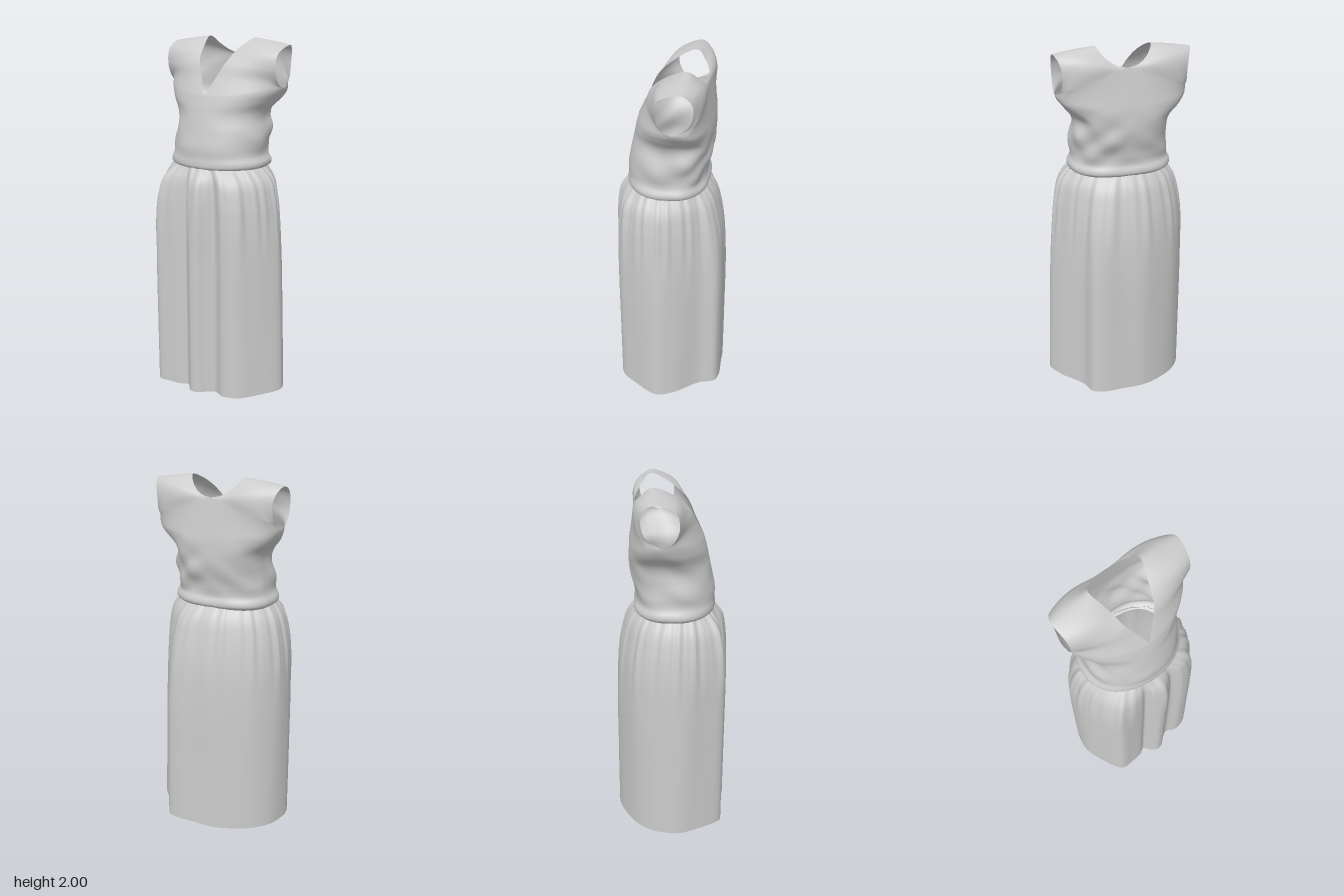
import * as THREE from 'three';
import { mergeGeometries, mergeVertices } from 'three/addons/utils/BufferGeometryUtils.js';

const CX = -0.02; // the bodice sits a little to one side
const V = (x, y, z) => new THREE.Vector3(x, y, z);
const cloth = new THREE.MeshStandardMaterial({ color: 0xcccccc, side: THREE.DoubleSide });

// Smooth lookup in rows of [key, ...values]
function table(rows) {
  const size = rows[0].length - 1;
  const it = new THREE.CubicInterpolant(rows.map(r => r[0]), rows.flatMap(r => r.slice(1)), size, new Float32Array(size));
  return k => it.evaluate(k);
}

// Grid surface from fn(u, v)
function sheet(nu, nv, fn) {
  const pos = [], index = [], cols = nu + 1;
  for (let j = 0; j <= nv; j++)
    for (let i = 0; i <= nu; i++) pos.push(...fn(i / nu, j / nv).toArray());
  for (let j = 0; j < nv; j++)
    for (let i = 0; i < nu; i++) {
      const a = j * cols + i, b = a + 1;
      index.push(a, a + cols, b, b, a + cols, b + cols);
    }
  const g = new THREE.BufferGeometry();
  g.setAttribute('position', new THREE.Float32BufferAttribute(pos, 3));
  return g.setIndex(index);
}

// Sews sheets together along shared edges, with smooth shading across the seams
function sewn(name, sheets) {
  const g = mergeVertices(mergeGeometries(sheets), 1e-4);
  g.computeVertexNormals();
  const mesh = new THREE.Mesh(g, cloth);
  mesh.name = name;
  return mesh;
}

// Bodice rows: y, right reach, left reach, front z, back z, side-seam z
const bodiceRow = table([
  [1.295, 0.265, 0.24, 0.215, -0.18, 0.02],
  [1.31, 0.288, 0.272, 0.238, -0.203, 0.02],
  [1.34, 0.292, 0.282, 0.243, -0.207, 0.02],
  [1.37, 0.278, 0.268, 0.24, -0.195, 0.02],
  [1.43, 0.275, 0.268, 0.24, -0.2, 0.01],
  [1.52, 0.26, 0.268, 0.225, -0.22, 0],
  [1.62, 0.28, 0.265, 0.205, -0.23, -0.02],
  [1.68, 0.328, 0.315, 0.194, -0.228, -0.045],
  [1.72, 0.35, 0.349, 0.184, -0.225, -0.057],
  [1.74, 0.355, 0.357, 0.179, -0.223, -0.06],
]);

// Point on the bodice: a = angle (0 at the left side, PI/2 at the front), h = 0 waist to 1 armpit
function bodice(a, h) {
  const yn = 1.295 + 0.445 * h;
  const [xr, xl, zf, zb, zc] = bodiceRow(yn);
  const c = Math.cos(a), s = Math.sin(a);
  const p = s > 0 ? 0.97 + 0.13 * h * h : 0.97 - 0.2 * Math.min(1, -3 * s);
  // Slanting drapes, strongest at the sides and back
  const soft = Math.sin(Math.PI * h) * (s > 0 ? 1 - 0.85 * s : 1);
  const k = 1 + soft * (0.022 * Math.sin(4 * Math.abs(c) * 2 + 34 * yn + 2 * s) + 0.016 * Math.sin(7 * a - 30 * yn));
  return V(
    CX + Math.sign(c) * (c > 0 ? xl : xr) * Math.abs(c) ** p * k,
    1.295 + h * (0.405 + 0.04 * c * c),
    zc + Math.sign(s) * (s > 0 ? zf - zc : zc - zb) * Math.abs(s) ** p * k);
}

// Strap guides, front to back over the shoulder: neck edge, middle, armhole edge
const curve = pts => new THREE.CatmullRomCurve3(pts.map(p => V(...p)), false, 'catmullrom', 0.5);
const neckline = curve([[0, 1.7, 0.179], [0.045, 1.79, 0.135], [0.088, 1.88, 0.09], [0.12, 1.955, 0],
  [0.15, 1.998, -0.1], [0.115, 1.95, -0.155], [0.06, 1.912, -0.183], [0, 1.898, -0.193]]);
const middle = curve([[0.2, 1.71, 0.13], [0.2, 1.785, 0.105], [0.22, 1.86, 0.08], [0.24, 1.945, 0.025], [0.26, 1.985, -0.09],
  [0.24, 1.955, -0.165], [0.2, 1.9, -0.202], [0.19, 1.82, -0.216], [0.2, 1.72, -0.218]]);
const armhole = curve([[0.355, 1.74, -0.06], [0.355, 1.765, -0.005], [0.355, 1.84, 0.03], [0.36, 1.925, 0.01], [0.372, 1.967, -0.09],
  [0.352, 1.935, -0.145], [0.338, 1.87, -0.165], [0.343, 1.79, -0.14], [0.355, 1.74, -0.06]]);

// Neck edge, then straight down the centre back
function neck(t) {
  if (t <= 7 / 8) return neckline.getPoint(t * 8 / 7);
  return neckline.getPoint(1).lerp(V(0, 1.7, -0.223), t * 8 - 7);
}

function strapBase(t, v, side) {
  const p = neck(t).multiplyScalar((1 - v) * (1 - 2 * v))
    .addScaledVector(middle.getPoint(t), 4 * v * (1 - v))
    .addScaledVector(armhole.getPoint(t), v * (2 * v - 1));
  p.x = CX + side * p.x;
  return p;
}

// Strap surface, pulled onto the top ring of the bodice at both ends
function strap(t, v, side) {
  const p = strapBase(t, v, side), end = t < 0.5 ? 0 : 1;
  const w = 1 - THREE.MathUtils.smoothstep(Math.abs(t - end), 0, 0.3);
  let a = (end ? -1 : 1) * (1 - v) * Math.PI / 2;
  if (side < 0) a = Math.PI - a;
  return p.addScaledVector(bodice(a, 1).sub(strapBase(end, v, side)), w);
}

// Hem outline (x, z) with its deep folds
const hem = new THREE.CatmullRomCurve3([
  [0.4, 0.01], [0.38, 0.08], [0.315, 0.18], [0.25, 0.26], [0.17, 0.28], [0.1, 0.255], [0.06, 0.28], [0.02, 0.315],
  [-0.02, 0.32], [-0.05, 0.3], [-0.09, 0.257], [-0.13, 0.275], [-0.2, 0.285], [-0.28, 0.283], [-0.335, 0.2],
  [-0.385, 0.09], [-0.4, 0.01], [-0.385, -0.08], [-0.32, -0.19], [-0.22, -0.26], [-0.1, -0.312], [0.03, -0.318],
  [0.15, -0.323], [0.21, -0.3], [0.245, -0.22], [0.3, -0.15], [0.365, -0.07],
].map(([x, z]) => V(x, 0, z)), true);

// How far the skirt has opened from waist to hem: y, then left, right, front, back
const flare = table([
  [0, 1, 1, 1, 1],
  [0.4, 0.91, 1, 1, 0.97],
  [0.8, 0.8, 0.98, 1, 0.92],
  [1, 0.69, 0.91, 0.98, 0.8],
  [1.15, 0.56, 0.7, 0.86, 0.58],
  [1.25, 0.36, 0.4, 0.58, 0.33],
  [1.31, 0, 0, 0, 0],
]);

function skirt(u, t) {
  const p = hem.getPoint(u), y = 1.31 * t;
  const a = Math.atan2(p.z / 0.3, p.x / 0.4), c = Math.cos(a), s = Math.sin(a);
  const [left, right, front, back] = flare(y);
  const w = c * c * (c > 0 ? left : right) + s * s * (s > 0 ? front : back);
  p.lerp(V(CX + 0.275 * c, 0, 0.02 + 0.215 * s), 1 - w);
  // Gathers below the waist seam
  const fade = THREE.MathUtils.smoothstep(y, 0.75, 1.2);
  const k = 1 + fade * (0.013 * Math.sin(23 * a + Math.sin(3 * a)) + 0.008 * Math.sin(37 * a + 1)) + 0.004 * Math.sin(11 * a + 2 * y);
  return V(p.x * k, y + 0.008 * (1 - t) * (1 + p.x / 0.4), p.z * k);
}

export function createModel() {
  const group = new THREE.Group();
  group.name = 'dress';
  group.add(sewn('skirt', [sheet(240, 60, skirt)]));
  group.add(sewn('bodice', [
    sheet(128, 48, (u, h) => bodice(u * 2 * Math.PI, h)),
    sheet(32, 64, (u, t) => strap(t, 1 - u, 1)), // left shoulder
    sheet(32, 64, (u, t) => strap(t, u, -1)), // right shoulder
  ]));
  return group;
}
